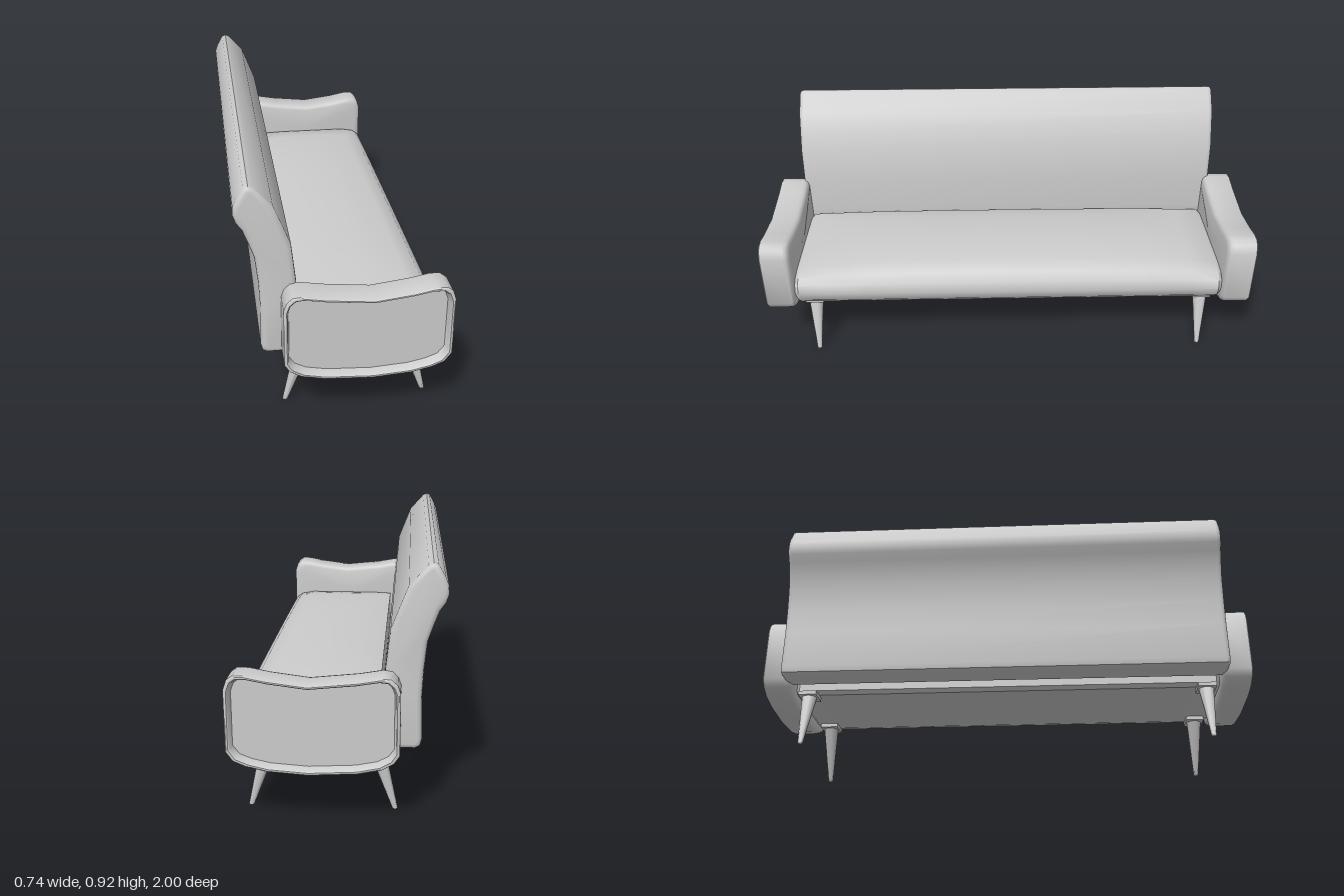
import * as THREE from 'three';
import { toCreasedNormals } from 'three/addons/utils/BufferGeometryUtils.js';

const material = new THREE.MeshStandardMaterial({ color: 0xcccccc });

function part(name, geometry) {
  const mesh = new THREE.Mesh(geometry, material);
  mesh.name = name;
  return mesh;
}

// Skins counterclockwise rings of [x, y, z] running toward +z, with fan caps at both ends
function loft(rings, crease = 0.75) {
  const n = rings[0].length;
  const centre = (ring) => [0, 1, 2].map((k) => ring.reduce((s, p) => s + p[k], 0) / n);
  const points = [...rings.flat(), centre(rings[0]), centre(rings[rings.length - 1])];
  const index = [];
  const last = (rings.length - 1) * n;
  const first = rings.length * n;
  for (let j = 0; j < n; j++) {
    const k = (j + 1) % n;
    for (let i = 0; i < last; i += n) {
      index.push(i + j, i + k, i + n + k, i + j, i + n + k, i + n + j);
    }
    index.push(first, k, j, first + 1, last + j, last + k);
  }
  const geometry = new THREE.BufferGeometry();
  geometry.setAttribute('position', new THREE.Float32BufferAttribute(points.flat(), 3));
  geometry.setIndex(index);
  return toCreasedNormals(geometry, crease);
}

// Backrest: curved profile with a rolled top, extruded along the sofa's length
function createBackrest() {
  const profile = [
    [-0.27, 0.267], [-0.18, 0.267], [-0.168, 0.28], [-0.163, 0.4], [-0.165, 0.55],
    [-0.181, 0.69], [-0.21, 0.765], [-0.24, 0.84], [-0.303, 0.91], [-0.32, 0.918],
    [-0.336, 0.912], [-0.36, 0.87], [-0.372, 0.84], [-0.373, 0.81], [-0.365, 0.785],
    [-0.345, 0.757], [-0.325, 0.705], [-0.306, 0.65], [-0.295, 0.55], [-0.29, 0.45],
    [-0.293, 0.3], [-0.288, 0.277],
  ].map(([x, y]) => new THREE.Vector2(x, y));
  const bevel = 0.018;
  const geometry = new THREE.ExtrudeGeometry(new THREE.Shape(profile), {
    depth: 1.81 - 2 * bevel, bevelThickness: bevel, bevelSize: bevel,
    bevelOffset: -bevel, bevelSegments: 3,
  });
  geometry.translate(0, 0, -0.908 + bevel);
  return part('backrest', toCreasedNormals(geometry, 0.75));
}

// Seat cushion: rounded front edge, crowned toward the middle of its length
function createSeat() {
  // x, y and share of the crown
  const section = [
    [-0.14, 0.255, 0], [-0.125, 0.24, 0], [0.27, 0.24, 0], [0.32, 0.253, 0],
    [0.353, 0.285, 0], [0.366, 0.325, 0], [0.357, 0.36, 0.2], [0.33, 0.38, 0.5],
    [0.27, 0.39, 0.85], [0.12, 0.39, 1], [-0.05, 0.39, 0.95], [-0.14, 0.388, 0.3],
  ];
  // z, crown height and inset
  const half = [[0, 0.04, 0], [0.3, 0.038, 0], [0.58, 0.031, 0], [0.76, 0.015, 0],
    [0.865, 0.002, 0], [0.88, 0, 0.015]];
  const stations = [
    ...half.slice(1).reverse().map(([z, c, i]) => [-z, c, i]), ...half,
  ];
  return part('seat', loft(stations.map(([z, crown, inset]) => section.map(([x, y, w]) => [
    0.113 + (x - 0.113) * (1 - inset / 0.25),
    0.315 + (y + w * crown - 0.315) * (1 - inset / 0.1),
    z,
  ]))));
}

// Armrest: waisted rounded block with a recessed outer panel
function createArm(side) {
  const outline = [
    [-0.22, 0.28], [-0.2, 0.25], [-0.16, 0.227], [-0.08, 0.21], [0.09, 0.2],
    [0.23, 0.21], [0.3, 0.226], [0.345, 0.245], [0.37, 0.28], [0.37, 0.5],
    [0.358, 0.535], [0.338, 0.55], [0.3, 0.55], [0.23, 0.536], [0.09, 0.518],
    [-0.08, 0.536], [-0.16, 0.55], [-0.19, 0.547], [-0.21, 0.528], [-0.22, 0.5],
  ];
  // z and inset, from the inner face over the rim into the recess
  const steps = [[0.88, 0.025], [0.884, 0.01], [0.892, 0.003], [0.905, 0], [0.996, 0],
    [1, 0.004], [1, 0.01], [0.995, 0.014], [0.965, 0.02]];
  const rings = steps.map(([z, inset]) => outline.map(([x, y]) => [
    0.075 + (x - 0.075) * (1 - inset / 0.295),
    0.375 + (y - 0.375) * (1 - inset / 0.175),
    z * side,
  ]));
  if (side < 0) rings.reverse();
  return part(side > 0 ? 'leftEndArm' : 'rightEndArm', loft(rings));
}

// Tapered cylinder between two heights, sheared to lean along x
function leaningCone(x0, x1, y0, y1, r0, r1) {
  const geometry = new THREE.CylinderGeometry(r1, r0, y1 - y0, 20);
  geometry.translate(0, (y0 + y1) / 2, 0);
  const p = geometry.attributes.position;
  for (let i = 0; i < p.count; i++) {
    p.setX(i, p.getX(i) + THREE.MathUtils.mapLinear(p.getY(i), y0, y1, x0, x1));
  }
  return toCreasedNormals(geometry, 0.75);
}

// Leg: mounting plate, splayed shaft and foot tip
function createLeg(name, topX, footX, z) {
  const leg = new THREE.Group();
  leg.name = name;
  const tipX = THREE.MathUtils.lerp(footX, topX, 0.2);
  const plate = part('legPlate', new THREE.BoxGeometry(0.085, 0.016, 0.075));
  plate.position.set(topX, 0.232, 0);
  leg.add(
    plate,
    part('legShaft', leaningCone(tipX, topX, 0.046, 0.23, 0.014, 0.031)),
    part('footTip', leaningCone(footX, tipX, 0, 0.046, 0.01, 0.014)),
  );
  leg.position.z = z;
  return leg;
}

export function createModel() {
  const sofa = new THREE.Group();
  sofa.name = 'sofa';
  sofa.add(createBackrest(), createSeat());
  for (const side of [1, -1]) {
    sofa.add(
      createArm(side),
      createLeg('frontLeg', 0.25, 0.318, side * 0.82),
      createLeg('backLeg', -0.135, -0.203, side * 0.82),
    );
  }
  return sofa;
}
